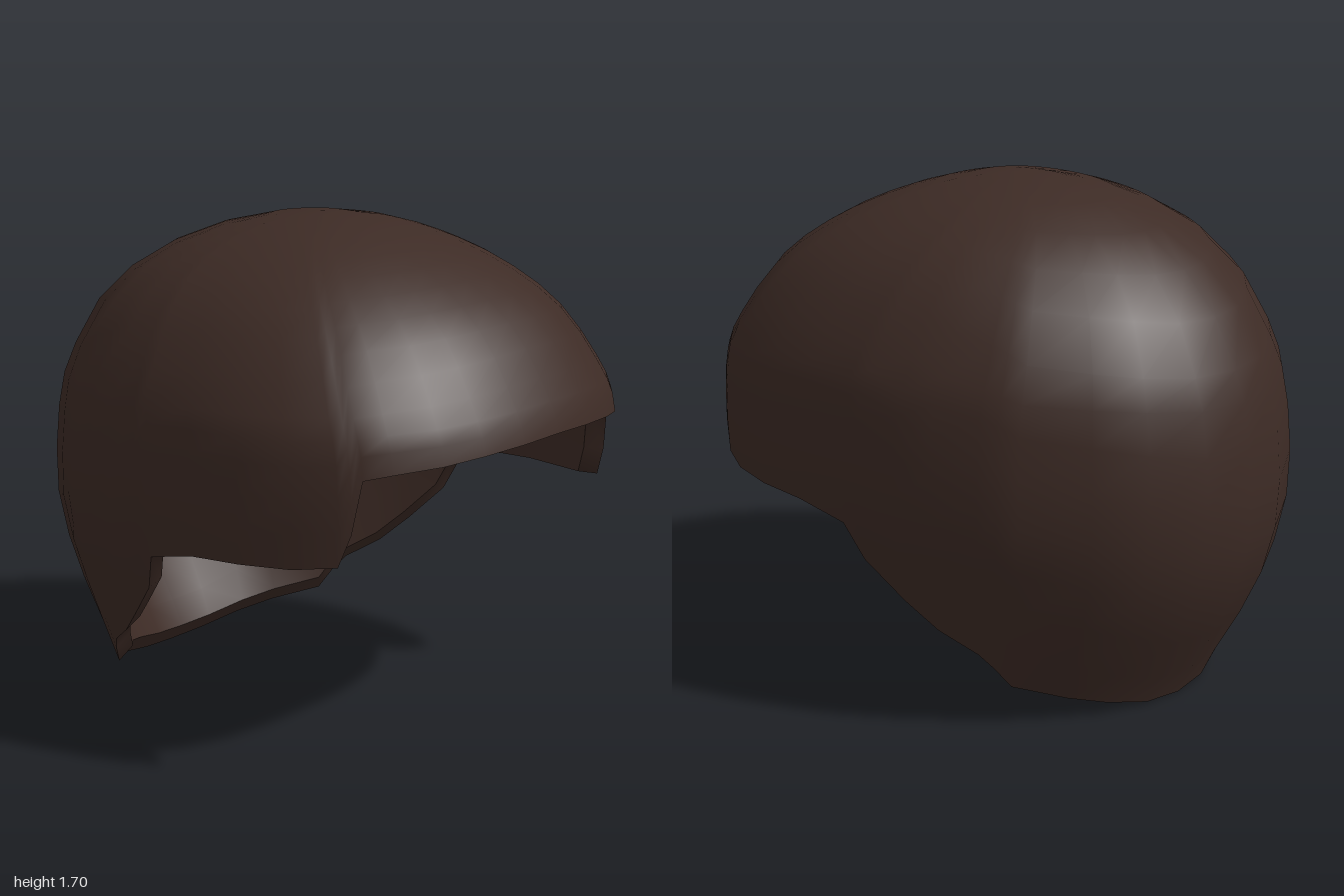
import * as THREE from 'three';
import { mergeVertices } from 'three/addons/utils/BufferGeometryUtils.js';

// Horizontal slices of the egg-shaped shell: y, half width, front z, back z, z of widest point
const SLICES = [
  [1.707, 0.001, 0.021, 0.019, 0.02], [1.69, 0.2, 0.21, -0.2, 0.01], [1.63, 0.4, 0.42, -0.42, 0],
  [1.53, 0.58, 0.63, -0.63, 0.03], [1.39, 0.72, 0.82, -0.8, 0.08], [1.2, 0.83, 0.95, -0.91, 0.13],
  [1.08, 0.86, 1, -0.96, 0.16], [0.9, 0.875, 1, -0.99, 0.17], [0.7, 0.865, 0.99, -1, 0.17],
  [0.5, 0.81, 0.95, -0.97, 0.17], [0.31, 0.76, 0.9, -0.89, 0.17], [0.12, 0.72, 0.85, -0.78, 0.17],
  [0, 0.7, 0.8, -0.72, 0.17],
];

// Lower edge from front centre, round the left side, to back centre: x, y, z
const EDGE = [
  [0, 1.08, 1], [0.18, 1.075, 0.99], [0.35, 1.065, 0.965], [0.5, 1.05, 0.92], [0.63, 1.035, 0.82],
  [0.69, 1.02, 0.75], [0.72, 0.85, 0.73], [0.735, 0.745, 0.69], [0.82, 0.73, 0.57], [0.86, 0.725, 0.39],
  [0.86, 0.718, 0.2], [0.85, 0.675, 0.01], [0.8, 0.55, -0.04], [0.74, 0.42, -0.16], [0.69, 0.325, -0.26],
  [0.62, 0.25, -0.37], [0.59, 0.2, -0.41], [0.55, 0.13, -0.45], [0.42, 0.085, -0.58], [0.3, 0.05, -0.65],
  [0.15, 0.015, -0.7], [0, 0.005, -0.72],
];
const ROWS = 14;
const INNER = 0.93;

const spline = new THREE.CubicInterpolant(SLICES.map((_, i) => i), SLICES.flat(), 5);
const sliceAt = (s) => Array.from(spline.evaluate(s));

// Slice parameter at a given height
function paramAt(y) {
  let lo = 0, hi = SLICES.length - 1;
  for (let i = 0; i < 30; i++) {
    const mid = (lo + hi) / 2;
    if (sliceAt(mid)[0] > y) lo = mid; else hi = mid;
  }
  return lo;
}

// Point on the outer surface; the front half is squarer than the back
function surfacePoint(s, angle) {
  const [y, w, zf, zb, zc] = sliceAt(s);
  const sx = Math.sin(angle), cz = Math.cos(angle);
  const p = cz > 0 ? 2.4 : 2.03;
  const depth = cz > 0 ? zf - zc : zc - zb;
  const r = Math.pow(Math.pow(Math.abs(sx) / w, p) + Math.pow(Math.abs(cz) / depth, p), -1 / p);
  return new THREE.Vector3(sx * r, y, zc + cz * r);
}

// Surface through rows of points, each row a closed ring
function loft(rows, flip) {
  const n = rows[0].length, index = [];
  for (let i = 0; i < rows.length - 1; i++) {
    for (let j = 0; j < n; j++) {
      const k = (j + 1) % n;
      const a = i * n + j, b = a + n, c = i * n + k, d = c + n;
      if (flip) index.push(a, c, b, c, d, b);
      else index.push(a, b, c, c, b, d);
    }
  }
  let geo = new THREE.BufferGeometry().setFromPoints(rows.flat());
  geo.setIndex(index);
  geo = mergeVertices(geo, 1e-5);
  geo.computeVertexNormals();
  return geo;
}

export function createModel() {
  const group = new THREE.Group();
  group.name = 'hair';
  const material = new THREE.MeshStandardMaterial({ color: 0x3d2b25 });

  // One column per edge point, mirrored to the right side
  const half = EDGE.map(([x, y, z]) => {
    const s = paramAt(y);
    return { s, angle: Math.atan2(x, z - sliceAt(s)[4]) };
  });
  const mirrored = half.slice(1, -1).reverse().map(({ s, angle }) => ({ s, angle: -angle }));
  const columns = [...half, ...mirrored];

  const outer = [];
  for (let i = 0; i <= ROWS; i++) {
    outer.push(columns.map(({ s, angle }) =>
      i === 0 ? new THREE.Vector3(0, SLICES[0][0], 0.02) : surfacePoint((s * i) / ROWS, angle)));
  }
  // Inner wall shrinks towards the middle of the head
  const centre = new THREE.Vector3(0, 0.9, 0);
  const inner = outer.map((row) => row.map((p) => p.clone().sub(centre).multiplyScalar(INNER).add(centre)));

  const add = (name, geometry) => {
    const mesh = new THREE.Mesh(geometry, material);
    mesh.name = name;
    group.add(mesh);
  };
  add('outerHair', loft(outer, false));
  add('innerHair', loft(inner, true));
  add('hairEdge', loft([outer[ROWS], inner[ROWS]], false));
  return group;
}
